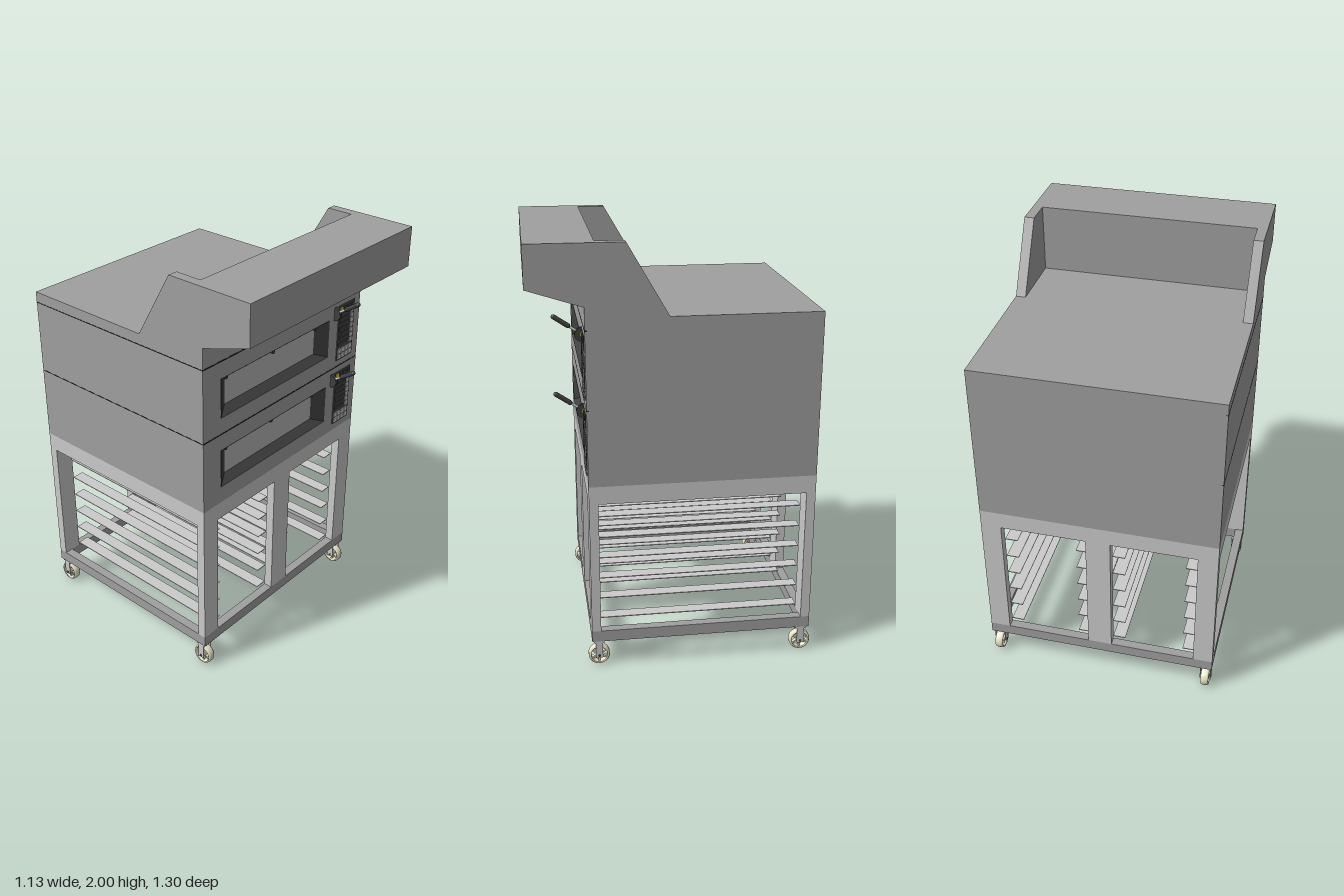
import * as THREE from 'three';

const mat = (color) => new THREE.MeshStandardMaterial({ color });
const light = mat(0xcccccc), steel = mat(0xa0a0a0), dark = mat(0x404040), black = mat(0x222222);
const glass = mat(0xb8b8b8), panelMat = mat(0x4a524e), yellow = mat(0xe8d820), cream = mat(0xe8e4c8);
const bevelMat = new THREE.MeshStandardMaterial({ color: 0x404040, side: THREE.DoubleSide });

const W = 0.5625, BACK = -0.637, FRONT = 0.405;   // half width, rear and front planes
const Y0 = 0.915, YTOP = 1.68;                    // oven body bottom and top

function add(parent, name, geo, material, x = 0, y = 0, z = 0) {
  const m = new THREE.Mesh(geo, material);
  m.name = name;
  m.position.set(x, y, z);
  parent.add(m);
  return m;
}

// Box given by its limits on each axis
function box(parent, name, material, x0, x1, y0, y1, z0, z1) {
  return add(parent, name, new THREE.BoxGeometry(x1 - x0, y1 - y0, z1 - z0), material,
    (x0 + x1) / 2, (y0 + y1) / 2, (z0 + z1) / 2);
}

function group(parent, name) {
  const g = new THREE.Group();
  g.name = name;
  parent.add(g);
  return g;
}

// Side plate from a (z, y) outline, spanning x0..x1
function sidePlate(parent, name, pts, x0, x1) {
  const shape = new THREE.Shape(pts.map(([z, y]) => new THREE.Vector2(z, y)));
  const geo = new THREE.ExtrudeGeometry(shape, { depth: x1 - x0, bevelEnabled: false });
  geo.rotateY(-Math.PI / 2);
  add(parent, name, geo, steel, x1);
}

// Sloping frame between an outer and an inner rectangle
function bevelFrame(o, i, zo, zi) {
  const corners = ([x0, x1, y0, y1], z) => [x0, y0, z, x1, y0, z, x1, y1, z, x0, y1, z];
  const geo = new THREE.BufferGeometry();
  geo.setAttribute('position', new THREE.Float32BufferAttribute([...corners(o, zo), ...corners(i, zi)], 3));
  const idx = [];
  for (let k = 0; k < 4; k++) {
    const n = (k + 1) % 4;
    idx.push(k, n, n + 4, k, n + 4, k + 4);
  }
  geo.setIndex(idx);
  const flat = geo.toNonIndexed();
  flat.computeVertexNormals();
  return flat;
}

const DECKS = [Y0, 1.27];
const windowRect = (b) => [-0.45, 0.32, b + 0.085, b + 0.275];
const glassRect = (b) => [-0.385, 0.25, b + 0.115, b + 0.255];

function buildBody(root) {
  const g = group(root, 'ovenBody');
  box(g, 'bodyShell', steel, -W, W, Y0, YTOP, BACK, 0.355);
  // Front panel with window openings, rising to close the back of the hood
  const shape = new THREE.Shape([[-W, Y0], [W, Y0], [W, 2], [-W, 2]].map((p) => new THREE.Vector2(...p)));
  for (const b of DECKS) {
    const [x0, x1, y0, y1] = windowRect(b);
    shape.holes.push(new THREE.Path([[x0, y0], [x0, y1], [x1, y1], [x1, y0]].map((p) => new THREE.Vector2(...p))));
  }
  add(g, 'frontPanel', new THREE.ExtrudeGeometry(shape, { depth: FRONT - 0.355, bevelEnabled: false }), steel, 0, 0, 0.355);
  // Seams between the decks, on the front and one side
  for (const y of [1.272, 1.628]) {
    box(g, 'frontSeam', black, -W, W, y - 0.003, y + 0.003, FRONT - 0.01, FRONT + 0.001);
    box(g, 'sideSeam', black, -W - 0.001, -W + 0.01, y - 0.002, y + 0.002, BACK, FRONT);
  }
}

function buildHood(root) {
  const g = group(root, 'hood');
  for (const s of [-1, 1]) {
    const span = (t) => (s > 0 ? [W - t, W] : [-W, -W + t]);
    sidePlate(g, 'hoodCheek', [[0.04, YTOP], [0.355, YTOP], [0.355, 2], [0.225, 2]], ...span(0.047));
    sidePlate(g, 'hoodSide', [[FRONT, 1.73], [0.653, 1.81], [0.653, 2], [FRONT, 2]], ...span(0.015));
  }
  const w = W - 0.015;
  box(g, 'hoodFront', steel, -w, w, 1.81, 2, 0.638, 0.653);
  box(g, 'hoodTop', steel, -w, w, 1.985, 2, FRONT, 0.638);
}

function buildDeck(root, b) {
  const g = group(root, 'ovenDeck');
  // Recessed window
  const i = glassRect(b);
  add(g, 'windowFrame', bevelFrame(windowRect(b), i, FRONT + 0.002, 0.37), bevelMat);
  box(g, 'windowGlass', glass, ...i, 0.36, 0.37);
  for (const x of [-0.385, -0.065, 0.25]) {
    const stud = add(g, 'windowStud', new THREE.CylinderGeometry(0.01, 0.01, 0.012, 16), dark, x, b + 0.25, 0.375);
    stud.rotation.x = Math.PI / 2;
  }
  // Control panel with keys
  const c = group(g, 'controlPanel');
  const zf = FRONT + 0.004, zk = FRONT + 0.007;
  box(c, 'panelPlate', panelMat, 0.39, 0.515, b + 0.037, b + 0.325, FRONT - 0.005, zf);
  box(c, 'powerKey', yellow, 0.398, 0.418, b + 0.295, b + 0.315, zf, zk);
  for (let k = 0; k < 3; k++) {
    const x = 0.427 + k * 0.029;
    box(c, 'topKey', dark, x, x + 0.024, b + 0.295, b + 0.315, zf, zk);
  }
  for (let r = 0; r < 7; r++) {
    const y = b + 0.11 + r * 0.026;
    box(c, 'sideKey', light, 0.486, 0.508, y, y + 0.02, zf, zk);
    box(c, 'displayRow', dark, 0.398, 0.478, y, y + 0.02, zf, zk - 0.001);
  }
  for (let r = 0; r < 2; r++) for (let k = 0; k < 4; k++) {
    const x = 0.398 + k * 0.0285, y = b + 0.045 + r * 0.029;
    box(c, 'numberKey', light, x, x + 0.023, y, y + 0.023, zf, zk);
  }
  // Lever handle
  const h = group(g, 'doorHandle');
  h.position.set(0.365, b + 0.295, FRONT);
  const pivot = add(h, 'handlePivot', new THREE.CylinderGeometry(0.033, 0.033, 0.016, 24, 1, false, 0, Math.PI), dark);
  pivot.rotation.z = Math.PI / 2;
  pivot.rotation.order = 'ZYX';
  pivot.geometry.rotateY(-Math.PI / 2);
  const lever = group(h, 'lever');
  lever.position.set(0, 0.01, 0.015);
  lever.rotation.x = 0.98;
  add(lever, 'leverRod', new THREE.CylinderGeometry(0.006, 0.006, 0.07, 12), light, 0, 0.035);
  add(lever, 'leverGrip', new THREE.CapsuleGeometry(0.011, 0.075, 4, 14), dark, 0, 0.092);
}

function buildStand(root) {
  const g = group(root, 'stand');
  const t = 0.043;
  // Top and bottom frames
  for (const [name, y0, y1, m] of [['topRail', 0.83, Y0, light], ['bottomRail', 0.13, 0.185, steel]]) {
    box(g, name, m, -W, W, y0, y1, FRONT - t, FRONT);
    box(g, name, m, -W, W, y0, y1, BACK, BACK + t);
    for (const s of [-1, 1]) {
      const x = s * (W - t / 2);
      box(g, name, m, x - t / 2, x + t / 2, y0, y1, BACK + t, FRONT - t);
    }
  }
  // Uprights, front and back
  for (const [z0, z1] of [[FRONT - t, FRONT], [BACK, BACK + t]]) {
    for (const [x0, x1] of [[-W, -0.468], [-0.06, 0.057], [0.465, W]]) {
      box(g, 'post', light, x0, x1, 0.185, 0.83, z0, z1);
    }
  }
  // Tray runners
  for (let k = 0; k < 6; k++) {
    const y = 0.725 - k * 0.105;
    for (const x of [-0.468, -0.12, 0.057, 0.405]) {
      box(g, 'trayRunner', light, x, x + 0.06, y - 0.002, y + 0.002, BACK + t, FRONT - t);
    }
  }
}

function buildCaster(root, x, z) {
  const g = group(root, 'caster');
  g.position.set(x, 0.05, z);
  // Tyre ring turned around the axle
  const ring = [[0.039, -0.016], [0.045, -0.02], [0.05, -0.011], [0.05, 0.011], [0.045, 0.02], [0.039, 0.016], [0.039, -0.016]];
  const tyre = add(g, 'tyre', new THREE.LatheGeometry(ring.map((p) => new THREE.Vector2(...p)), 32), cream);
  tyre.rotation.z = Math.PI / 2;
  const hub = add(g, 'hub', new THREE.CylinderGeometry(0.014, 0.014, 0.036, 16), cream);
  hub.rotation.z = Math.PI / 2;
  for (let k = 0; k < 3; k++) {
    const spoke = add(g, 'spoke', new THREE.BoxGeometry(0.018, 0.08, 0.008), cream);
    spoke.rotation.x = k * Math.PI / 3;
  }
  // Fork
  for (const s of [-1, 1]) add(g, 'forkArm', new THREE.BoxGeometry(0.004, 0.085, 0.034), light, s * 0.025, 0.0325);
  add(g, 'forkTop', new THREE.BoxGeometry(0.054, 0.012, 0.05), light, 0, 0.074);
  const axle = add(g, 'axle', new THREE.CylinderGeometry(0.006, 0.006, 0.058, 12), dark);
  axle.rotation.z = Math.PI / 2;
}

export function createModel() {
  const root = new THREE.Group();
  root.name = 'deckOven';
  buildBody(root);
  buildHood(root);
  DECKS.forEach((b) => buildDeck(root, b));
  buildStand(root);
  for (const x of [-0.53, 0.53]) for (const z of [0.372, -0.6]) buildCaster(root, x, z);
  return root;
}
